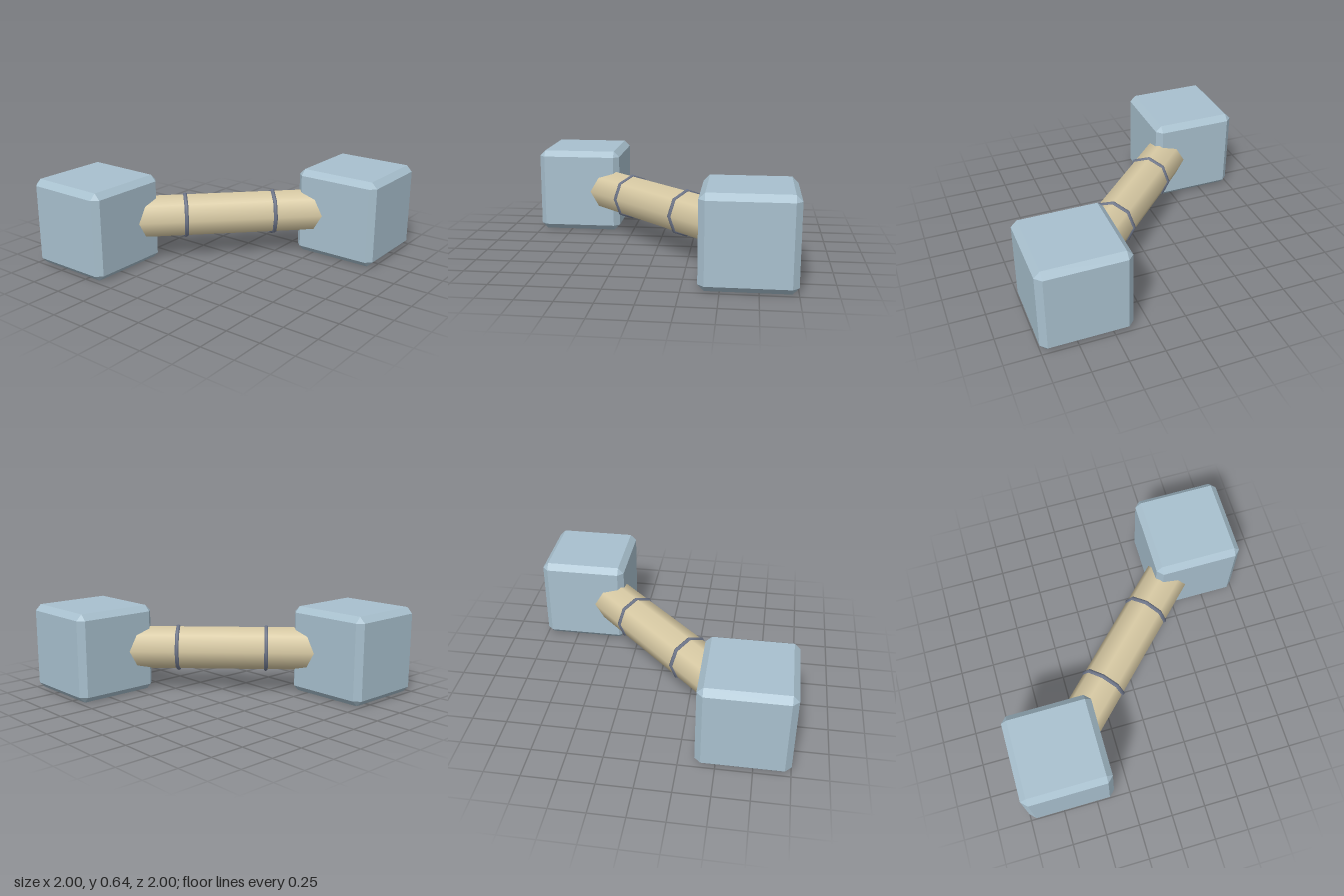
import * as THREE from 'three';
import { ConvexGeometry } from 'three/addons/geometries/ConvexGeometry.js';

function material(name, color) {
  const m = new THREE.MeshStandardMaterial({ color });
  m.name = name;
  return m;
}

// Cube with bevelled edges and triangular cut corners
function chamferedCube(size, bevel) {
  const h = size / 2, a = h - bevel, points = [];
  for (const x of [-1, 1]) for (const y of [-1, 1]) for (const z of [-1, 1]) {
    points.push(
      new THREE.Vector3(x * h, y * a, z * a),
      new THREE.Vector3(x * a, y * h, z * a),
      new THREE.Vector3(x * a, y * a, z * h)
    );
  }
  return new ConvexGeometry(points);
}

export function createModel() {
  const model = new THREE.Group();
  model.name = 'dumbbell';
  const blue = material('pale blue', 0xa8c0ce);
  const tan = material('tan', 0xd8caa4);
  const slate = material('slate', 0x70788c);

  const add = (parent, name, geometry, mat) => {
    const mesh = new THREE.Mesh(geometry, mat);
    mesh.name = name;
    parent.add(mesh);
    return mesh;
  };

  // End blocks on opposite corners
  const block = chamferedCube(0.64, 0.043);
  for (const s of [-1, 1]) {
    add(model, s < 0 ? 'backRightBlock' : 'frontLeftBlock', block, blue)
      .position.set(s * 0.68, 0.32, s * 0.68);
  }

  // Diagonal bar, with its length along the group's x axis
  const bar = new THREE.Group();
  bar.name = 'bar';
  bar.position.y = 0.32;
  bar.rotation.y = -Math.PI / 4;
  model.add(bar);
  add(bar, 'rod', new THREE.CylinderGeometry(0.161, 0.161, 1.6, 8), tan).rotation.z = Math.PI / 2;

  // Two thin collars around the rod
  const collar = new THREE.TorusGeometry(0.16, 0.016, 6, 8);
  for (const s of [-1, 1]) {
    const ring = add(bar, s < 0 ? 'backCollar' : 'frontCollar', collar, slate);
    ring.rotation.y = Math.PI / 2;
    ring.position.x = s * 0.326;
  }
  return model;
}
